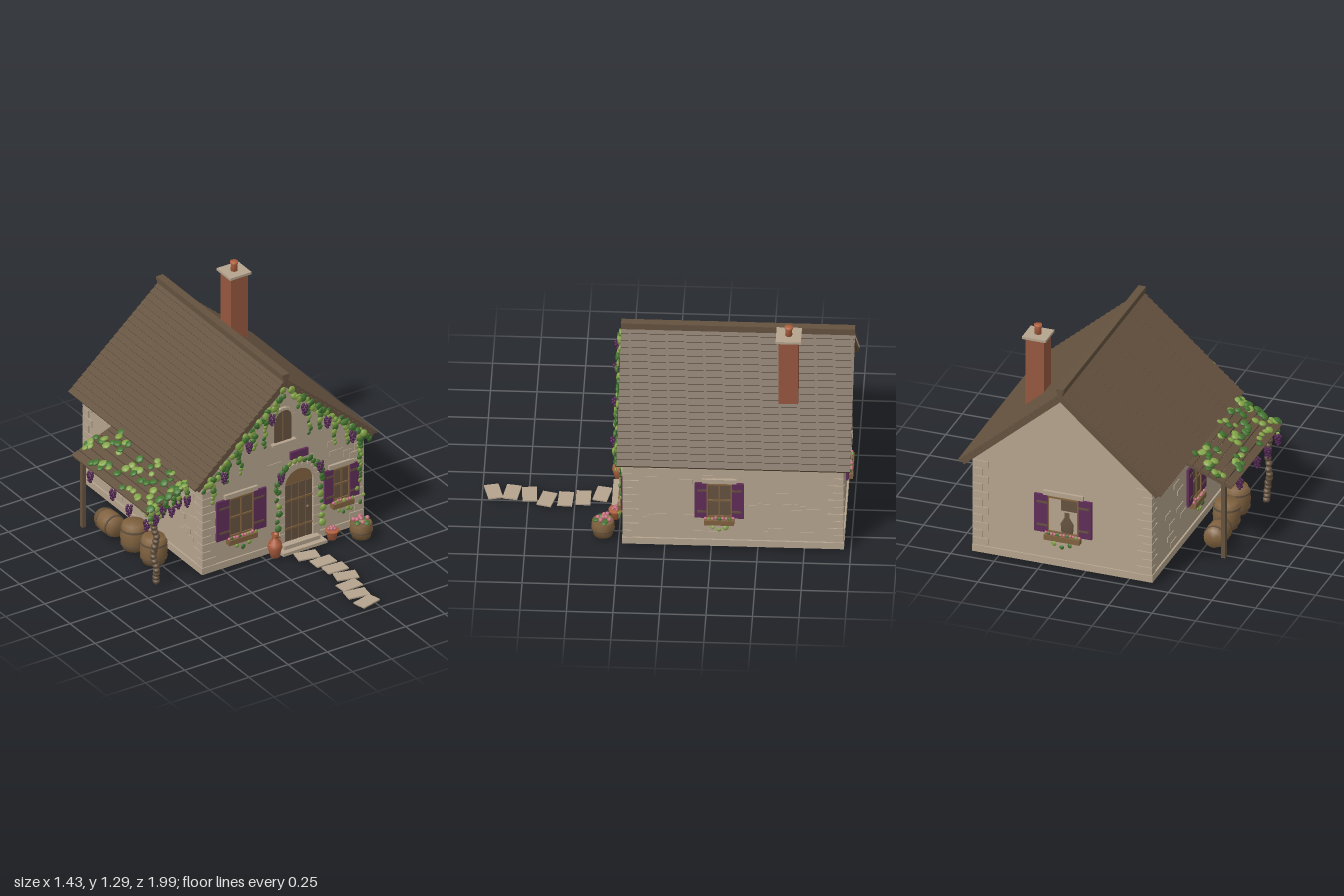
import * as THREE from 'three';
import { mergeGeometries } from 'three/addons/utils/BufferGeometryUtils.js';

const colours = {
  stone: 0xb5a48e, roofWood: 0x65523f, brick: 0x96573f, purple: 0x5f2d58, wood: 0x80623f,
  leafDark: 0x437530, leafLight: 0x84a447, grape: 0x4f2250, terracotta: 0xb0603f, blossom: 0xc2707e,
};
const M = {};
for (const [name, color] of Object.entries(colours)) {
  M[name] = new THREE.MeshStandardMaterial({ color });
  M[name].name = name;
}

export function createModel() {
  const root = new THREE.Group();
  let seed = 7;
  const rnd = () => (seed = (seed * 16807) % 2147483647) / 2147483647;
  const jit = (a) => (rnd() - 0.5) * 2 * a;

  const group = (name, parent = root, x = 0, y = 0, z = 0) => {
    const g = new THREE.Group();
    g.name = name; g.position.set(x, y, z); parent.add(g);
    return g;
  };
  const mesh = (p, name, geo, mat, x = 0, y = 0, z = 0) => {
    const m = new THREE.Mesh(geo, M[mat]);
    m.name = name; m.position.set(x, y, z); p.add(m);
    return m;
  };
  const box = (p, name, mat, w, h, d, x, y, z) => mesh(p, name, new THREE.BoxGeometry(w, h, d), mat, x, y, z);
  const lathe = (p, name, mat, pts, x, y, z) =>
    mesh(p, name, new THREE.LatheGeometry(pts.map(([r, h]) => new THREE.Vector2(r, h)), 16), mat, x, y, z);
  const extrude = (shape, depth) => new THREE.ExtrudeGeometry(shape, { depth, bevelEnabled: false, curveSegments: 16 });

  // Foliage, blossom and grape helpers
  const ball = new THREE.SphereGeometry(1, 8, 6);
  const leaf = (p, x, y, z, r = 0.016, flat = 'z') => {
    const m = mesh(p, 'leaf', ball, rnd() < 0.5 ? 'leafDark' : 'leafLight', x, y, z);
    m.scale.setScalar(r * (0.8 + rnd() * 0.4));
    m.scale[flat] *= 0.45;
    m.rotation.set(jit(0.25), jit(0.25), jit(0.25));
  };
  const blossom = (p, x, y, z, r = 0.01) => mesh(p, 'blossom', ball, 'blossom', x, y, z).scale.setScalar(r);
  const berries = [];
  [4, 4, 3, 2, 1].forEach((n, row) => {
    for (let i = 0; i < n; i++) {
      const a = (i / n) * Math.PI * 2 + row, r = n > 1 ? 0.005 + n * 0.0025 : 0;
      berries.push(new THREE.SphereGeometry(0.009, 6, 5).translate(Math.cos(a) * r, -row * 0.013, Math.sin(a) * r * 0.8));
    }
  });
  const bunch = mergeGeometries(berries);
  const grapes = (p, x, y, z) => mesh(p, 'grapes', bunch, 'grape', x, y, z);
  const strand = (p, x, y, z, len) => {
    for (let d = 0; d < len; d += 0.024) leaf(p, x + jit(0.009), y - d, z + jit(0.004), 0.018 - 0.006 * d / len);
  };

  // House body
  const cx = 0.124, hw = 0.508, front = 0.22, back = -0.955, midZ = (front + back) / 2, apex = 1.045, slope = 0.875;
  const wall = new THREE.Shape();
  [[-hw, 0.02], [hw, 0.02], [hw, apex - hw * slope], [0, apex], [-hw, apex - hw * slope]]
    .forEach(([x, y], i) => (i ? wall.lineTo(x, y) : wall.moveTo(x, y)));
  const house = group('house');
  mesh(house, 'walls', extrude(wall, front - back), 'stone', cx, 0, back);
  box(house, 'plinth', 'stone', 1.036, 0.04, front - back + 0.018, cx, 0.04, midZ);
  for (const sx of [-1, 1]) for (const [z, sz] of [[front, 1], [back, -1]])
    for (let i = 0; i < 11; i++) {
      const a = i % 2 ? 0.055 : 0.088, b = i % 2 ? 0.088 : 0.055;
      box(house, 'quoin', 'stone', a, 0.043, b, cx + sx * (hw + 0.007 - a / 2), 0.084 + i * 0.047, z + sz * (0.007 - b / 2));
    }
  // Shallow stones scattered over the front and side walls
  for (let i = 0; i < 75; i++) {
    const w = 0.05 + rnd() * 0.05, h = 0.025 + rnd() * 0.015, y = 0.09 + rnd() * 0.46;
    const kind = i % 3;
    if (kind === 0) box(house, 'wallStone', 'stone', w, h, 0.008, cx + jit(0.42), y + (rnd() < 0.3 ? 0.12 : 0), front);
    else box(house, 'wallStone', 'stone', 0.008, h, w, cx + (kind === 1 ? hw : -hw), y, midZ + jit(0.5));
  }

  // Roof of overlapping boards
  const roof = group('roof');
  const ang = Math.atan(slope), roofLen = 1.257, roofZ = -0.3715;
  for (const s of [-1, 1]) {
    const side = group('roofSide', roof, cx, 1.037, roofZ);
    side.rotation.z = -s * ang;
    box(side, 'roofDeck', 'roofWood', 0.766, 0.024, roofLen - 0.01, s * 0.349, 0.012, 0);
    for (let i = 0; i < 20; i++)
      box(side, 'roofBoard', 'roofWood', 0.044, 0.014, roofLen, s * (-0.012 + i * 0.0385), 0.032, 0).rotation.z = s * 0.16;
  }
  box(roof, 'ridgeBase', 'roofWood', 0.03, 0.04, roofLen, cx, 1.082, roofZ);
  box(roof, 'ridgeCap', 'roofWood', 0.044, 0.02, roofLen, cx, 1.108, roofZ);

  // Chimney
  const chimney = group('chimney', root, 0.378, 0, -0.655);
  box(chimney, 'chimneyStack', 'brick', 0.106, 0.46, 0.106, 0, 0.998, 0);
  box(chimney, 'chimneyCap', 'stone', 0.136, 0.014, 0.136, 0, 1.233, 0);
  lathe(chimney, 'chimneyPot', 'terracotta', [[0, 0], [0.019, 0], [0.018, 0.04], [0.022, 0.042], [0.022, 0.055], [0, 0.055]], 0, 1.24, 0);

  // Shuttered window, built facing +z around its centre
  const makeWindow = (name, x, y, z, turn, w, h, sw, open = false) => {
    const g = group(name, root, x, y, z);
    g.rotation.y = turn;
    box(g, 'pane', open ? 'stone' : 'roofWood', w, h, 0.008, 0, 0, 0.003);
    for (const s of [-1, 1]) {
      box(g, 'frameSide', 'wood', 0.009, h, 0.016, s * (w / 2 - 0.004), 0, 0.006);
      box(g, 'frameRail', 'wood', w, 0.009, 0.016, 0, s * (h / 2 - 0.004), 0.006);
      box(g, 'shutter', 'purple', sw, h + 0.01, 0.014, s * (w + sw) / 2, 0, 0.01);
      for (const t of [-1, 1]) box(g, 'hinge', 'roofWood', sw * 0.8, 0.012, 0.006, s * (w / 2 + sw * 0.4), t * h * 0.32, 0.017);
    }
    if (open) {
      lathe(g, 'jug', 'roofWood', [[0, 0], [0.035, 0], [0.04, 0.06], [0.018, 0.1], [0.018, 0.13], [0, 0.13]], w * 0.12, -h / 2, 0.005).scale.z = 0.2;
      box(g, 'darkInterior', 'roofWood', w * 0.55, h * 0.3, 0.004, w * 0.2, h * 0.3, 0.007);
    } else {
      box(g, 'mullion', 'wood', 0.009, h, 0.014, 0, 0, 0.006);
      box(g, 'transom', 'wood', w, 0.009, 0.014, 0, 0, 0.006);
    }
    box(g, 'lintel', 'stone', w + 0.05, 0.026, 0.02, 0, h / 2 + 0.018, 0.006);
    const bw = w + 0.025, by = -h / 2 - 0.025;
    box(g, 'flowerBox', 'wood', bw, 0.03, 0.036, 0, by, 0.019);
    const n = Math.round(bw / 0.017);
    for (let i = 0; i < n; i++) {
      const fx = (i / (n - 1) - 0.5) * (bw - 0.012);
      if (i % 3 === 1) leaf(g, fx, by + 0.02, 0.026, 0.011);
      else blossom(g, fx, by + 0.022, 0.022 + jit(0.008), 0.009);
    }
    for (const t of [-1, 0, 1]) leaf(g, t * bw * 0.22, by - 0.03 - (t ? 0 : 0.016), 0.032, 0.014);
  };
  makeWindow('leftFrontWindow', -0.146, 0.321, front, 0, 0.158, 0.234, 0.08);
  makeWindow('rightFrontWindow', 0.494, 0.316, front, 0, 0.108, 0.194, 0.056);
  makeWindow('leftSideWindow', cx + hw, 0.322, -0.294, Math.PI / 2, 0.136, 0.216, 0.064);
  makeWindow('rightSideWindow', cx - hw, 0.322, -0.294, -Math.PI / 2, 0.136, 0.216, 0.064);
  makeWindow('backWindow', 0.117, 0.33, back, Math.PI, 0.18, 0.216, 0.075, true);

  // Arched panels and stone arches
  const archPanel = (w, h) => {
    const s = new THREE.Shape();
    s.moveTo(-w / 2, 0); s.lineTo(w / 2, 0); s.lineTo(w / 2, h);
    s.absarc(0, h, w / 2, 0, Math.PI, false);
    s.lineTo(-w / 2, 0);
    return s;
  };
  const archStones = (p, r, t, y, n, z) => {
    for (let i = 0; i < n; i++) {
      const a = ((i + 0.5) / n) * Math.PI;
      box(p, 'archStone', 'stone', t, (Math.PI * (r + t * 0.4)) / n, 0.022, Math.cos(a) * (r + t / 2), y + Math.sin(a) * (r + t / 2), z).rotation.z = a;
    }
  };
  const attic = group('atticWindow', root, 0.124, 0.69, front);
  mesh(attic, 'atticPane', extrude(archPanel(0.108, 0.14), 0.007), 'roofWood');
  box(attic, 'atticMullion', 'wood', 0.006, 0.19, 0.006, 0, 0.095, 0.006);
  archStones(attic, 0.054, 0.016, 0.14, 9, 0.005);
  box(attic, 'atticSill', 'stone', 0.15, 0.012, 0.03, 0, -0.004, 0.012);

  // Door, steps and sign
  const door = group('door', root, 0.22, 0, front);
  mesh(door, 'doorPanel', extrude(archPanel(0.18, 0.345), 0.007), 'wood', 0, 0.06, 0);
  for (let i = 0; i < 4; i++) box(door, 'doorPlank', 'roofWood', 0.038, 0.345, 0.008, (i - 1.5) * 0.044, 0.234, 0.008);
  for (const y of [0.14, 0.31]) box(door, 'doorBatten', 'wood', 0.17, 0.012, 0.008, 0, y, 0.012);
  mesh(door, 'doorKnob', ball, 'roofWood', 0.053, 0.245, 0.02).scale.setScalar(0.011);
  archStones(door, 0.09, 0.04, 0.405, 11, 0.008);
  for (const s of [-1, 1]) for (let i = 0; i < 6; i++)
    box(door, 'jambStone', 'stone', i % 2 ? 0.034 : 0.042, 0.055, 0.022, s * (i % 2 ? 0.107 : 0.111), 0.09 + i * 0.0575, 0.008);
  box(door, 'lowerStep', 'stone', 0.28, 0.018, 0.08, 0, 0.028, 0.04);
  box(door, 'upperStep', 'stone', 0.23, 0.024, 0.05, 0, 0.048, 0.025);
  box(door, 'sign', 'purple', 0.112, 0.045, 0.016, 0, 0.588, 0.016);

  // Vine around the door
  const doorVine = group('doorVine', root, 0.22, 0, front + 0.025);
  for (const s of [-1, 1]) {
    for (let y = 0.12; y < 0.41; y += 0.045) leaf(doorVine, s * 0.138 + jit(0.012), y, 0, 0.018);
    grapes(doorVine, s * 0.125, 0.5, 0.008);
  }
  for (let i = 0; i <= 14; i++) {
    const a = (i / 14) * Math.PI, r = 0.145 + jit(0.01);
    leaf(doorVine, Math.cos(a) * r, 0.41 + Math.sin(a) * r, 0, 0.019);
  }

  // Vine along the gable
  const gableVine = group('gableVine', root, cx, 0, 0.268);
  for (const s of [-1, 1]) {
    for (let i = 0; i < 34; i++) {
      const d = 0.015 + i * 0.0155;
      leaf(gableVine, s * d + jit(0.008), 1.03 - d * slope + jit(0.016), jit(0.008), 0.02);
    }
    [0.07, 0.14, 0.21, 0.3, 0.38, 0.47].forEach((d, i) => strand(gableVine, s * d, 1.01 - d * slope, 0, [0.07, 0.17, 0.12, 0.15, 0.1, 0.14][i]));
    for (const d of [0.105, 0.25, 0.41]) grapes(gableVine, s * d, 0.995 - d * slope, 0.012);
  }
  const cornerVine = group('cornerVine', root, 0.605, 0, front + 0.02);
  strand(cornerVine, 0, 0.59, 0, 0.3);
  for (const [x, y] of [[-0.02, 0.26], [0.02, 0.21], [0, 0.17], [-0.06, 0.15]]) leaf(cornerVine, x, y, 0.005, 0.014);

  // Pergola
  const pergola = group('pergola');
  const px = -0.57, py = 0.518, tilt = Math.atan2(0.105, 0.27);
  const deck = group('pergolaDeck', pergola, px, py, -0.205);
  deck.rotation.z = tilt;
  for (let i = 0; i < 6; i++) box(deck, 'pergolaPlank', 'roofWood', 0.045, 0.012, 0.75, (i - 2.5) * 0.049, 0, 0);
  for (const z of [-0.35, 0, 0.35]) box(deck, 'pergolaRafter', 'roofWood', 0.28, 0.018, 0.022, 0, -0.014, z);
  for (let i = 0; i < 75; i++) {
    const z = i < 20 ? 0.36 + jit(0.03) : jit(0.37), x = jit(0.14);
    leaf(deck, x, 0.014 + rnd() * 0.012, z, 0.022, 'y');
  }
  box(pergola, 'backPost', 'roofWood', 0.024, 0.45, 0.024, -0.65, 0.245, -0.555);
  const trunk = [0, 0.08, 0.17, 0.27, 0.36, 0.47].map((y, i) =>
    new THREE.Vector3([-0.63, -0.636, -0.648, -0.635, -0.647, -0.64][i], y + 0.005, 0.14 + (i % 2) * 0.01));
  const trunkCurve = new THREE.CatmullRomCurve3(trunk);
  mesh(pergola, 'vineTrunk', new THREE.TubeGeometry(trunkCurve, 20, 0.015, 8), 'roofWood');
  for (let i = 0; i < 16; i++) {
    const p = trunkCurve.getPoint(i / 16);
    mesh(pergola, 'trunkKnot', ball, 'roofWood', p.x + jit(0.003), p.y + 0.013, p.z + jit(0.003)).scale.set(0.021, 0.018, 0.021);
  }
  for (const [x, y, z] of [[-0.695, 0.41, 0.15], [-0.65, 0.44, 0.17], [-0.6, 0.47, 0.16], [-0.55, 0.46, 0.17], [-0.5, 0.49, 0.16],
    [-0.45, 0.49, 0.17], [-0.7, 0.42, -0.02], [-0.7, 0.44, -0.18], [-0.69, 0.43, -0.42]]) grapes(pergola, x, y, z);
  for (let i = 0; i < 6; i++) strand(pergola, -0.68 + i * 0.045, 0.46 + i * 0.018, 0.172, 0.05);

  // Barrels
  const barrel = (x, y, z, r, h) => {
    const g = group('barrel', root, x, y, z);
    lathe(g, 'staves', 'wood', [[0, -h / 2], [r * 0.8, -h / 2], [r * 0.95, -h / 4], [r, 0], [r * 0.95, h / 4], [r * 0.8, h / 2], [0, h / 2]], 0, 0, 0);
    for (const t of [-0.28, 0.28]) mesh(g, 'hoop', new THREE.CylinderGeometry(r * 0.98, r * 0.98, h * 0.07, 16), 'roofWood', 0, h * t, 0);
    return g;
  };
  barrel(-0.53, 0.098, -0.04, 0.076, 0.155);
  barrel(-0.54, 0.098, -0.22, 0.076, 0.155);
  barrel(-0.565, 0.085, -0.42, 0.065, 0.16).rotation.x = Math.PI / 2;

  // Pots and planter by the door
  lathe(root, 'amphora', 'terracotta', [[0, 0], [0.024, 0], [0.04, 0.06], [0.036, 0.085], [0.016, 0.108], [0.015, 0.125], [0.023, 0.138], [0.012, 0.138], [0, 0.12]], 0.045, 0.02, 0.27);
  for (const s of [-1, 1]) {
    const handle = mesh(root, 'amphoraHandle', new THREE.TorusGeometry(0.018, 0.004, 6, 12), 'terracotta', 0.045 + s * 0.02, 0.118, 0.27);
    handle.scale.x = 0.7;
  }
  lathe(root, 'flowerPot', 'terracotta', [[0, 0], [0.024, 0], [0.031, 0.044], [0.038, 0.044], [0.038, 0.056], [0, 0.056]], 0.405, 0.02, 0.275);
  lathe(root, 'planter', 'wood', [[0, 0], [0.052, 0], [0.063, 0.045], [0.06, 0.086], [0.052, 0.086], [0, 0.078]], 0.553, 0.02, 0.335);
  mesh(root, 'planterHoop', new THREE.CylinderGeometry(0.064, 0.063, 0.01, 16), 'roofWood', 0.553, 0.06, 0.335);
  const blooms = group('blooms');
  for (let i = 0; i < 14; i++) {
    const a = i * 2.4, r = 0.012 * Math.sqrt(i);
    const x = 0.553 + Math.cos(a) * r, z = 0.335 + Math.sin(a) * r;
    if (i % 2) leaf(blooms, x, 0.115, z, 0.016, 'y');
    else blossom(blooms, x, 0.125 + jit(0.008), z, 0.013);
    if (i < 6) blossom(blooms, 0.405 + Math.cos(a) * r * 0.8, 0.084, 0.275 + Math.sin(a) * r * 0.8, 0.009);
  }

  // Stepping stone path
  const path = group('path');
  [[0.195, 0.355, -0.2], [0.235, 0.455, 0], [0.25, 0.55, -0.05], [0.255, 0.65, -0.25], [0.215, 0.745, 0.06], [0.2, 0.84, -0.15], [0.2, 0.94, 0.25]]
    .forEach(([x, z, r]) => { box(path, 'pathStone', 'stone', 0.125, 0.008, 0.08, x, 0.02, z).rotation.y = r; });
  return root;
}
